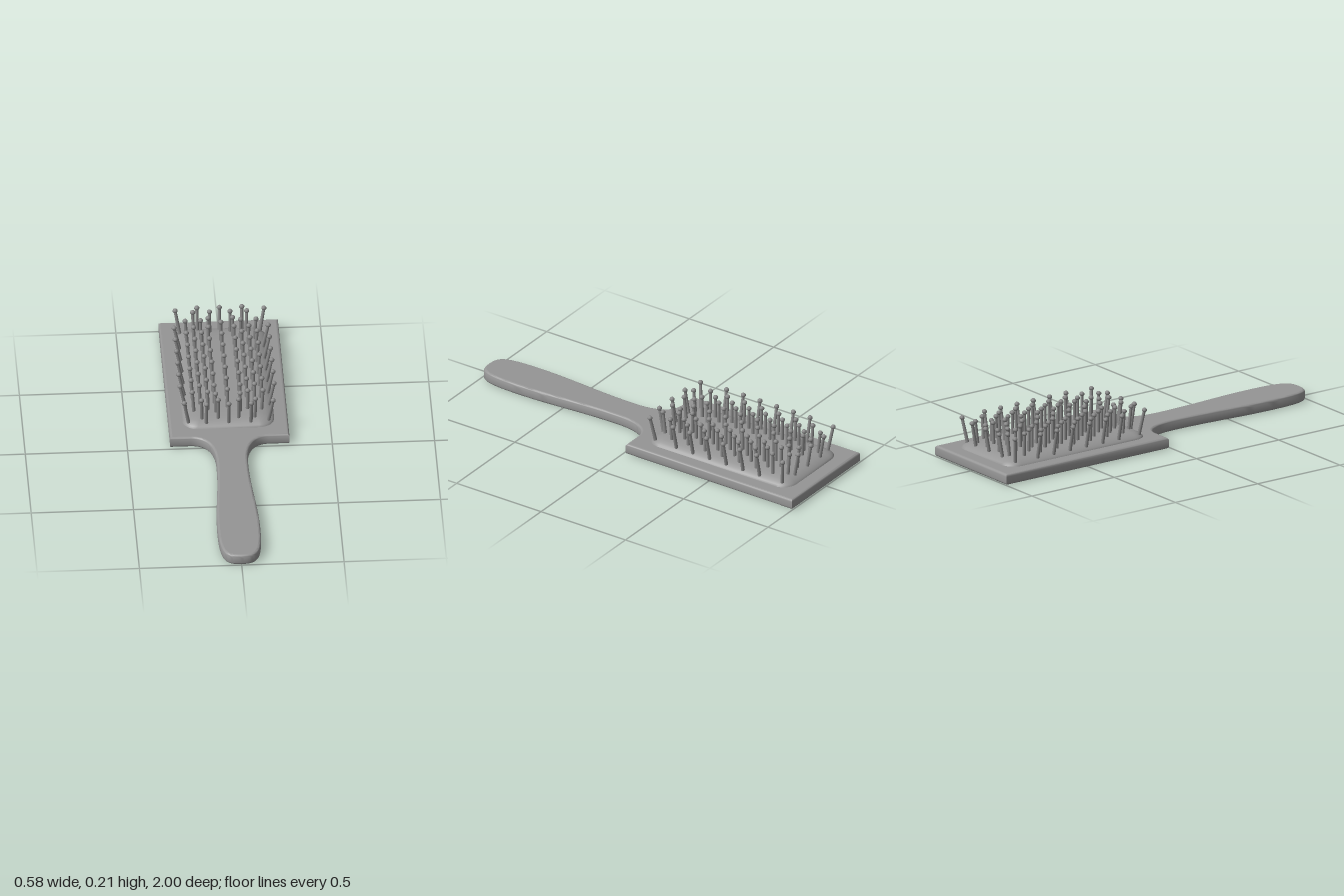
import * as THREE from 'three';
import { toCreasedNormals, mergeVertices } from 'three/addons/utils/BufferGeometryUtils.js';

const bodyMaterial = new THREE.MeshStandardMaterial({ color: 0x959595 });
const bristleMaterial = new THREE.MeshStandardMaterial({ color: 0x8a8a8a });
const CUSHION_Z = -0.505;
const BRISTLE_Z = -0.499;

// Flat paddle: square head, flared neck and swelling handle in one outline
function makePaddle() {
  const s = new THREE.Shape();
  s.moveTo(-0.292, -1);
  s.lineTo(0.292, -1);
  s.lineTo(0.292, -0.012);
  s.lineTo(0.19, -0.012);
  s.bezierCurveTo(0.12, -0.01, 0.077, 0.05, 0.077, 0.19);
  s.bezierCurveTo(0.077, 0.42, 0.105, 0.55, 0.105, 0.76);
  s.bezierCurveTo(0.105, 0.97, 0.08, 1, 0, 1);
  s.bezierCurveTo(-0.08, 1, -0.105, 0.97, -0.105, 0.76);
  s.bezierCurveTo(-0.105, 0.55, -0.077, 0.42, -0.077, 0.19);
  s.bezierCurveTo(-0.077, 0.05, -0.12, -0.01, -0.19, -0.012);
  s.lineTo(-0.292, -0.012);
  s.closePath();
  const bevel = 0.013;
  let g = new THREE.ExtrudeGeometry(s, {
    depth: 0.056 - 2 * bevel, curveSegments: 16,
    bevelThickness: bevel, bevelSize: bevel, bevelOffset: -bevel, bevelSegments: 4,
  });
  g.rotateX(Math.PI / 2);
  g.translate(0, 0.056 - bevel, 0);
  g = toCreasedNormals(g, 0.7);
  // Keep the top and bottom faces perfectly flat
  const p = g.attributes.position, normal = g.attributes.normal;
  for (let i = 0; i < p.count; i += 3) {
    const y = p.getY(i);
    if (Math.abs(p.getY(i + 1) - y) > 1e-5 || Math.abs(p.getY(i + 2) - y) > 1e-5) continue;
    for (let k = 0; k < 3; k++) normal.setXYZ(i + k, 0, y > 0.028 ? 1 : -1, 0);
  }
  return g;
}

// Domed cushion: rounded-rectangle rings that shrink as they rise
function makeCushion() {
  const a = 0.225, b = 0.422, radius = 0.075, arc = 8;
  const profile = [[0, 0.05], [0, 0.056], [0.008, 0.064], [0.02, 0.072], [0.04, 0.081],
    [0.07, 0.087], [0.11, 0.0905], [0.16, 0.0925], [0.225, 0.093]]; // [inset, height]
  const n = 4 * (arc + 1), pos = [], index = [];
  for (const [inset, y] of profile) {
    const r = Math.max(radius - inset * 0.6, 0) * (1 - inset / a);
    for (let q = 0; q < 4; q++) {
      const sx = q === 0 || q === 3 ? 1 : -1, sz = q < 2 ? 1 : -1;
      for (let i = 0; i <= arc; i++) {
        const t = (q + i / arc) * Math.PI / 2;
        pos.push(sx * (a - inset - r) + r * Math.cos(t), y,
          CUSHION_Z + sz * (b - inset - r) + r * Math.sin(t));
      }
    }
  }
  for (let k = 0; k < profile.length - 1; k++) {
    for (let i = 0; i < n; i++) {
      const p = k * n + i, q = k * n + (i + 1) % n;
      index.push(p, p + n, q, q, p + n, q + n);
    }
  }
  let g = new THREE.BufferGeometry();
  g.setAttribute('position', new THREE.Float32BufferAttribute(pos, 3));
  g.setIndex(index);
  g = mergeVertices(g, 1e-5);
  g.computeVertexNormals();
  return g;
}

// Bristle tips [x, z] for one side; mirrored across x = 0
function bristleTips() {
  const half = [];
  for (let i = 0; i < 6; i++) {
    const z = BRISTLE_Z + (i - 2.5) * 0.099;
    half.push([0.23, z], [0.135, z], [0.063, z]);
  }
  for (let i = 0; i < 7; i++) {
    const z = BRISTLE_Z + (i - 3) * 0.101;
    half.push([0.173, z], [0.098, z], [0, BRISTLE_Z + (i - 3) * 0.095]);
  }
  for (const s of [-1, 1]) {
    half.push([0.06, BRISTLE_Z + s * 0.322], [0.05, BRISTLE_Z + s * 0.375],
      [0.132, BRISTLE_Z + s * 0.375], [0.217, BRISTLE_Z + s * 0.393],
      [0.11, BRISTLE_Z + s * 0.411], [0, BRISTLE_Z + s * 0.411]);
  }
  return half.flatMap(([x, z]) => (x === 0 ? [[x, z]] : [[x, z], [-x, z]]));
}

// Bristles: pins with faceted ball tips that lean outwards near the rim
function makeBristles() {
  const group = new THREE.Group();
  group.name = 'bristles';
  const ballProfile = [[0, -0.0105], [0.006, -0.0105], [0.0125, -0.004],
    [0.0125, 0.004], [0.007, 0.0105], [0, 0.0105]];
  const ballGeo = new THREE.LatheGeometry(
    ballProfile.map(([r, y]) => new THREE.Vector2(r, y)), 8);
  const shaftGeo = new THREE.CylinderGeometry(0.0075, 0.009, 1, 8);
  const up = new THREE.Vector3(0, 1, 0);
  for (const [x, z] of bristleTips()) {
    const dz = z - BRISTLE_Z;
    const tip = new THREE.Vector3(x, 0.1965, z);
    const base = new THREE.Vector3(
      x - Math.sign(x) * 0.027 * (Math.abs(x) / 0.23) ** 4, 0.071,
      z - Math.sign(dz) * 0.023 * (Math.abs(dz) / 0.411) ** 6);
    const dir = tip.clone().sub(base);
    const shaft = new THREE.Mesh(shaftGeo, bristleMaterial);
    shaft.name = 'bristleShaft';
    shaft.scale.y = dir.length();
    shaft.position.copy(base).add(tip).multiplyScalar(0.5);
    shaft.quaternion.setFromUnitVectors(up, dir.normalize());
    const ball = new THREE.Mesh(ballGeo, bristleMaterial);
    ball.name = 'bristleTip';
    ball.position.copy(tip);
    group.add(shaft, ball);
  }
  return group;
}

export function createModel() {
  const model = new THREE.Group();
  model.name = 'paddleHairbrush';
  const paddle = new THREE.Mesh(makePaddle(), bodyMaterial);
  paddle.name = 'paddleAndHandle';
  const cushion = new THREE.Mesh(makeCushion(), bodyMaterial);
  cushion.name = 'cushion';
  model.add(paddle, cushion, makeBristles());
  return model;
}
